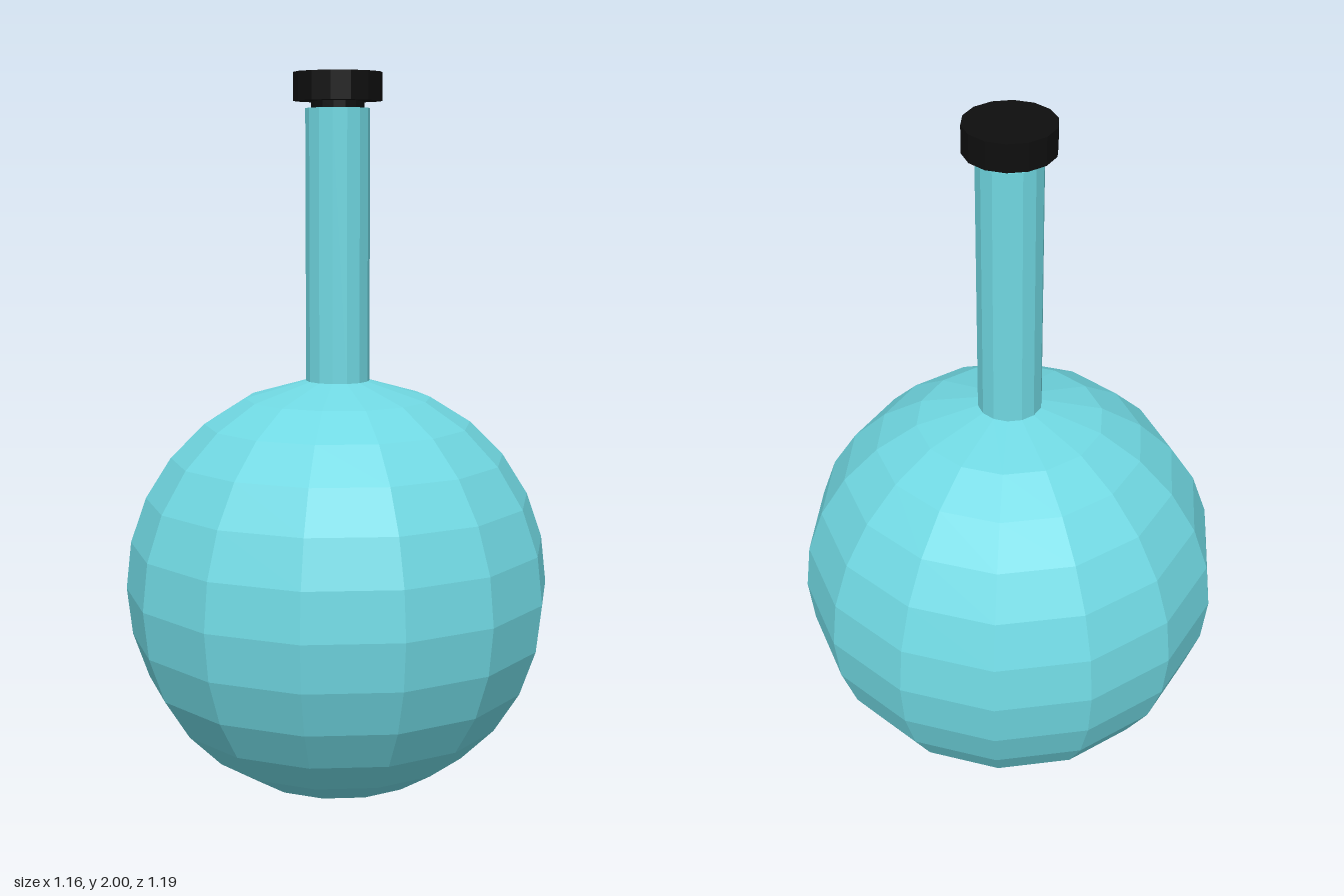
import * as THREE from 'three';

const SIDES = 14;

export function createModel() {
  const glass = new THREE.MeshStandardMaterial({ color: 0x70d8e2 });
  glass.name = 'aqua glass';
  const black = new THREE.MeshStandardMaterial({ color: 0x0e0e0e });
  black.name = 'black stopper';

  const model = new THREE.Group();
  model.name = 'flask';

  // Faceted solid of revolution; profile runs from bottom to top
  function turned(name, profile, material) {
    const points = profile.map(([r, y]) => new THREE.Vector2(r, y));
    const geometry = new THREE.LatheGeometry(points, SIDES).toNonIndexed();
    geometry.computeVertexNormals();
    const mesh = new THREE.Mesh(geometry, material);
    mesh.name = name;
    model.add(mesh);
  }

  // Round bulb with a flat base, closing in to the neck
  const R = 0.595, step = Math.PI / 14, centre = R * Math.cos(step);
  const bulb = [[0, 0]];
  for (let i = 1; i <= 12; i++) {
    bulb.push([R * Math.sin(i * step), centre - R * Math.cos(i * step)]);
  }
  bulb.push([0.088, 1.165]);
  turned('bulb', bulb, glass);

  // Straight neck with a closed rim
  turned('neck', [[0.088, 1.165], [0.088, 1.905], [0, 1.905]], glass);

  // Stopper: narrow plug below a wide cap
  turned('stopperPlug', [[0.072, 1.905], [0.072, 1.924]], black);
  turned('stopperCap', [[0, 1.924], [0.121, 1.924], [0.121, 2], [0, 2]], black);

  return model;
}
